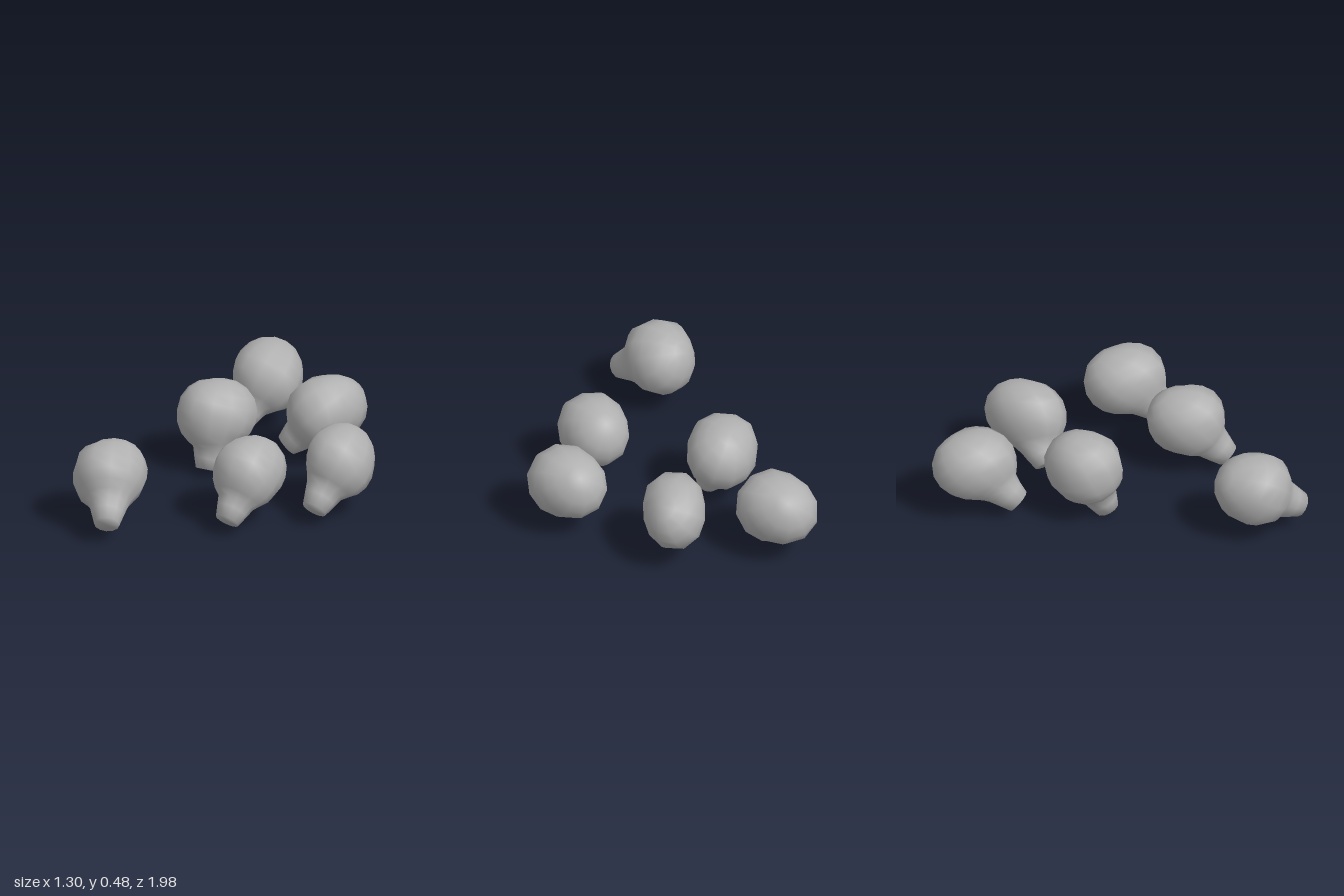
import * as THREE from 'three';
import { mergeVertices } from 'three/addons/utils/BufferGeometryUtils.js';

const UP = new THREE.Vector3(0, 1, 0);
// Ring angles (degrees) measured from the snout axis
const RINGS = [0, 12, 19, 27, 38, 52, 68, 86, 104, 122, 140, 160, 180];

// Each animal: body centre, half sizes, heading in degrees, snout tip
const FLOCK = [
  { name: 'backLeftAnimal', at: [-0.465, 0.285, -0.79], size: [0.185, 0.185, 0.225], yaw: 30, tip: [-0.485, 0.085, -0.55] },
  { name: 'backMiddleAnimal', at: [0.045, 0.285, -0.59], size: [0.165, 0.185, 0.225], yaw: -22, tip: [-0.125, 0.09, -0.45] },
  { name: 'grazingAnimal', at: [-0.405, 0.29, -0.22], size: [0.185, 0.185, 0.215], yaw: -35, tip: [-0.385, 0.02, -0.09] },
  { name: 'rightAnimal', at: [0.44, 0.285, -0.115], size: [0.18, 0.185, 0.22], yaw: 27, tip: [0.435, 0.085, 0.135] },
  { name: 'middleAnimal', at: [0.115, 0.28, 0.255], size: [0.178, 0.182, 0.208], yaw: 0, tip: [0.115, 0.075, 0.48] },
  { name: 'frontAnimal', at: [-0.475, 0.28, 0.695], size: [0.18, 0.187, 0.205], yaw: -6, tip: [-0.345, 0.11, 0.935] },
];

// Distance to a rounded body: blunt in front, rounder behind
function bodyRadius(d, [a, b, c]) {
  const n = d.z > 0 ? 2.5 : 2.1;
  return Math.pow(
    Math.pow(Math.abs(d.x) / a, n) + Math.pow(Math.abs(d.y) / b, n) + Math.pow(Math.abs(d.z) / c, n), -1 / n);
}

// Distance to a tapered snout with a flat nose
function snoutRadius(angle, length) {
  const s = Math.sin(angle), c = Math.cos(angle);
  if (c <= 0.01) return 0;
  return Math.min(length / c, (0.066 + 0.3 * length) / (s + 0.3 * c));
}

function animalGeometry({ at, size, yaw, tip }) {
  const axis = new THREE.Vector3(...tip).sub(new THREE.Vector3(...at));
  const length = axis.length();
  axis.applyAxisAngle(UP, -THREE.MathUtils.degToRad(yaw)).normalize();
  const turn = new THREE.Quaternion().setFromUnitVectors(UP, axis);

  const sphere = new THREE.SphereGeometry(1, 12, RINGS.length - 1);
  const pos = sphere.attributes.position;
  const d = new THREE.Vector3();
  for (let i = 0; i < pos.count; i++) {
    const angle = THREE.MathUtils.degToRad(RINGS[Math.floor(i / 13)]);
    const around = ((i % 13) % 12) * Math.PI / 6;
    d.set(-Math.cos(around) * Math.sin(angle), Math.cos(angle), Math.sin(around) * Math.sin(angle));
    d.applyQuaternion(turn);
    d.multiplyScalar(Math.max(bodyRadius(d, size), snoutRadius(angle, length)));
    pos.setXYZ(i, d.x, d.y, d.z);
  }
  sphere.deleteAttribute('uv');
  sphere.deleteAttribute('normal');
  const geometry = mergeVertices(sphere, 1e-5);
  geometry.computeVertexNormals();
  return geometry;
}

export function createModel() {
  const group = new THREE.Group();
  group.name = 'flock';
  const grey = new THREE.MeshStandardMaterial({ color: 0xb0b0b0 });
  grey.name = 'grey';
  for (const animal of FLOCK) {
    const mesh = new THREE.Mesh(animalGeometry(animal), grey);
    mesh.name = animal.name;
    mesh.position.set(...animal.at);
    mesh.rotation.y = THREE.MathUtils.degToRad(animal.yaw);
    group.add(mesh);
  }
  return group;
}
